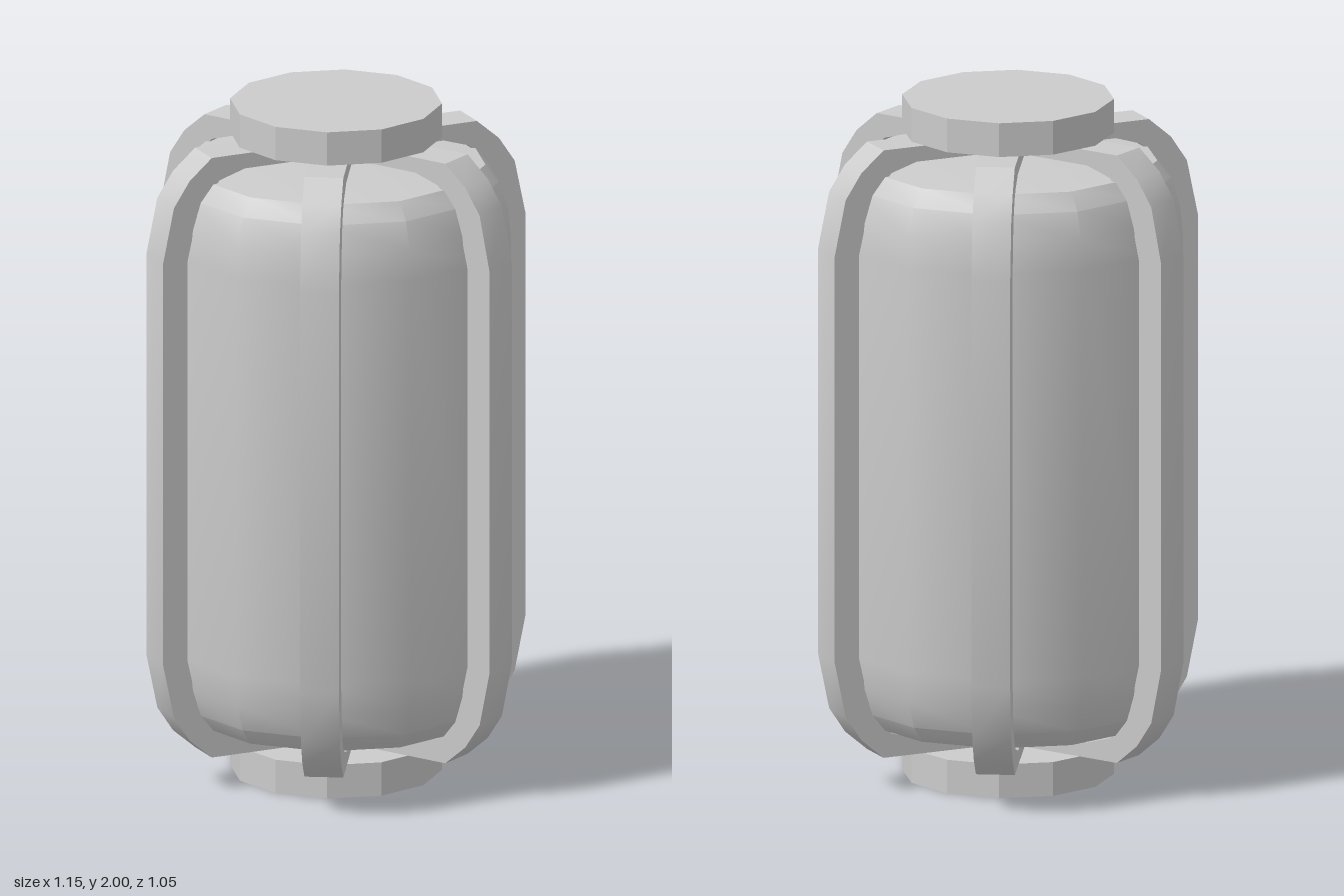
import * as THREE from 'three';
import { toCreasedNormals } from 'three/addons/utils/BufferGeometryUtils.js';

export function createModel() {
  const group = new THREE.Group();
  const smooth = new THREE.MeshStandardMaterial({ color: 0xcccccc });
  const flat = new THREE.MeshStandardMaterial({ color: 0xcccccc, flatShading: true });

  const add = (name, geometry, material) => {
    const mesh = new THREE.Mesh(geometry, material);
    mesh.name = name;
    group.add(mesh);
    return mesh;
  };

  // Mirror a quarter profile [x, height above the middle] to the lower half
  const bothEnds = (upper) => [
    ...upper.map(([x, y]) => new THREE.Vector2(x, 1 - y)).reverse(),
    ...upper.map(([x, y]) => new THREE.Vector2(x, 1 + y)),
  ];

  // Barrel body with rounded shoulders and shallow conical ends
  const bodyProfile = bothEnds([[0.504, 0.6], [0.495, 0.69], [0.47, 0.77], [0.43, 0.82], [0, 0.855]]);
  add('body', toCreasedNormals(new THREE.LatheGeometry(bodyProfile, 12), 0.58), smooth);

  // Twelve-sided end caps
  for (const [name, y] of [['bottomCap', 0.05], ['topCap', 1.95]]) {
    add(name, new THREE.CylinderGeometry(0.305, 0.305, 0.1, 12), flat).position.y = y;
  }

  // Closed loop made from the right half profile and its mirror image
  const loop = (upper) => {
    const half = bothEnds(upper);
    return [...half, ...half.map((p) => new THREE.Vector2(-p.x, p.y)).reverse()];
  };

  // Three crossing frames form the six guard ribs
  const frameShape = new THREE.Shape(loop([[0.575, 0.6], [0.54, 0.765], [0.49, 0.84], [0.42, 0.9]]));
  frameShape.holes.push(new THREE.Path(loop([[0.497, 0.6], [0.465, 0.74], [0.395, 0.83], [0.315, 0.855]])));
  const frame = new THREE.ExtrudeGeometry(frameShape, { depth: 0.112, bevelEnabled: false });
  frame.translate(0, 0, -0.056);
  const ribs = toCreasedNormals(frame, 0.6);
  for (let i = 0; i < 3; i++) {
    add('guardFrame' + (i + 1), ribs, smooth).rotation.y = (i * Math.PI) / 3;
  }

  return group;
}
